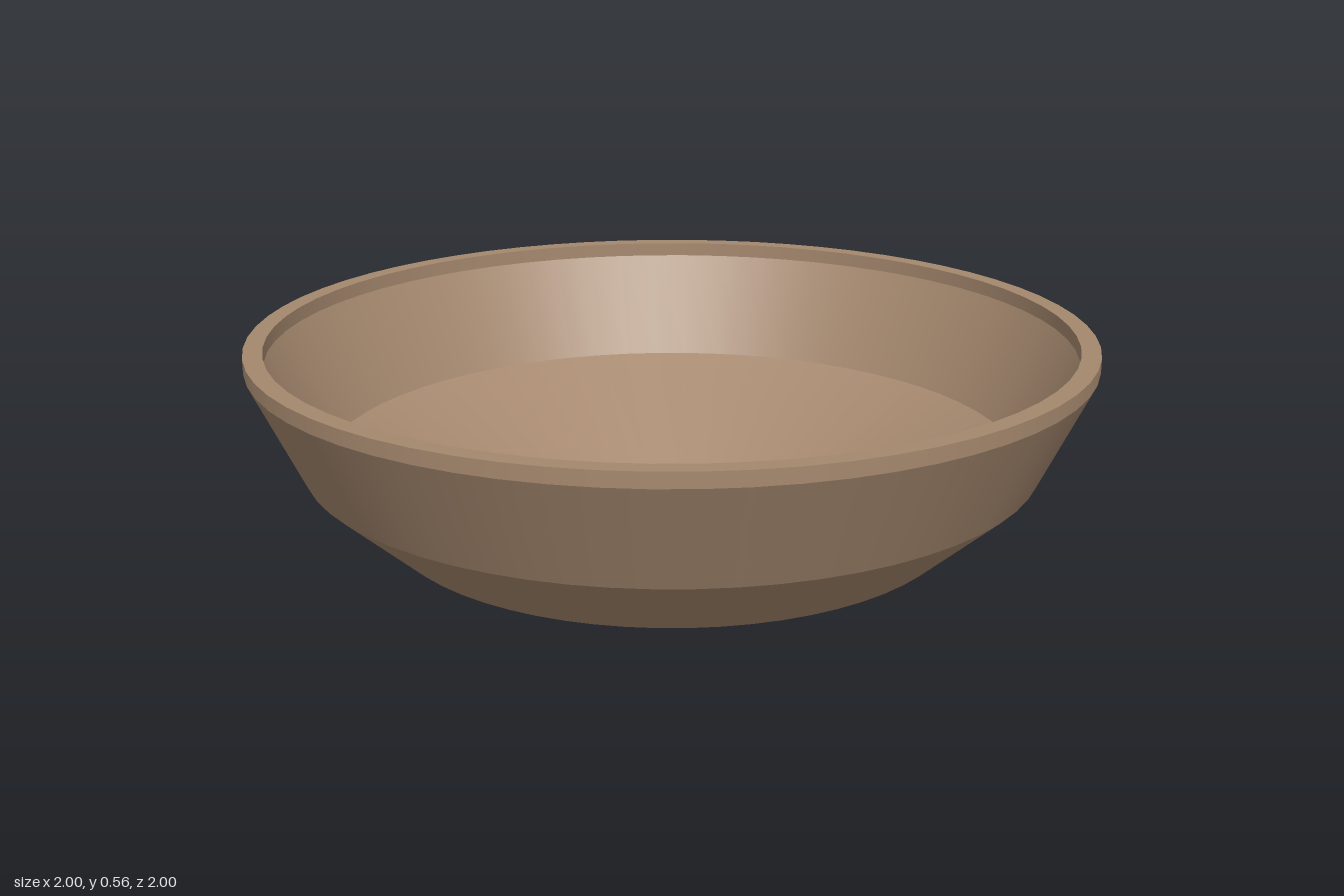
import * as THREE from 'three';

export function createModel() {
  const bowl = new THREE.Group();
  bowl.name = 'bowl';
  const clay = new THREE.MeshStandardMaterial({ color: 0xa5886e });
  clay.name = 'clay brown';

  // Profile runs from under the base, up the outside, over the rim and down inside.
  const profile = [
    [0, 0], [0.38, 0], [0.48, 0.03], [0.69, 0.105], [0.88, 0.275], [1, 0.53],
    [1, 0.565], [0.955, 0.565], [0.955, 0.53], [0.835, 0.273], [0.45, 0.068], [0, 0.068],
  ].map(([r, y]) => new THREE.Vector2(r, y));
  const names = [
    'base', 'footBevel', 'lowerWall', 'middleWall', 'upperWall', 'outerLip',
    'rimTop', 'innerLip', 'innerWall', 'innerSlope', 'floor',
  ];

  // One band per profile step: smooth around, sharp between the bands
  names.forEach((name, i) => {
    const band = new THREE.Mesh(new THREE.LatheGeometry([profile[i], profile[i + 1]], 64), clay);
    band.name = name;
    bowl.add(band);
  });
  return bowl;
}
